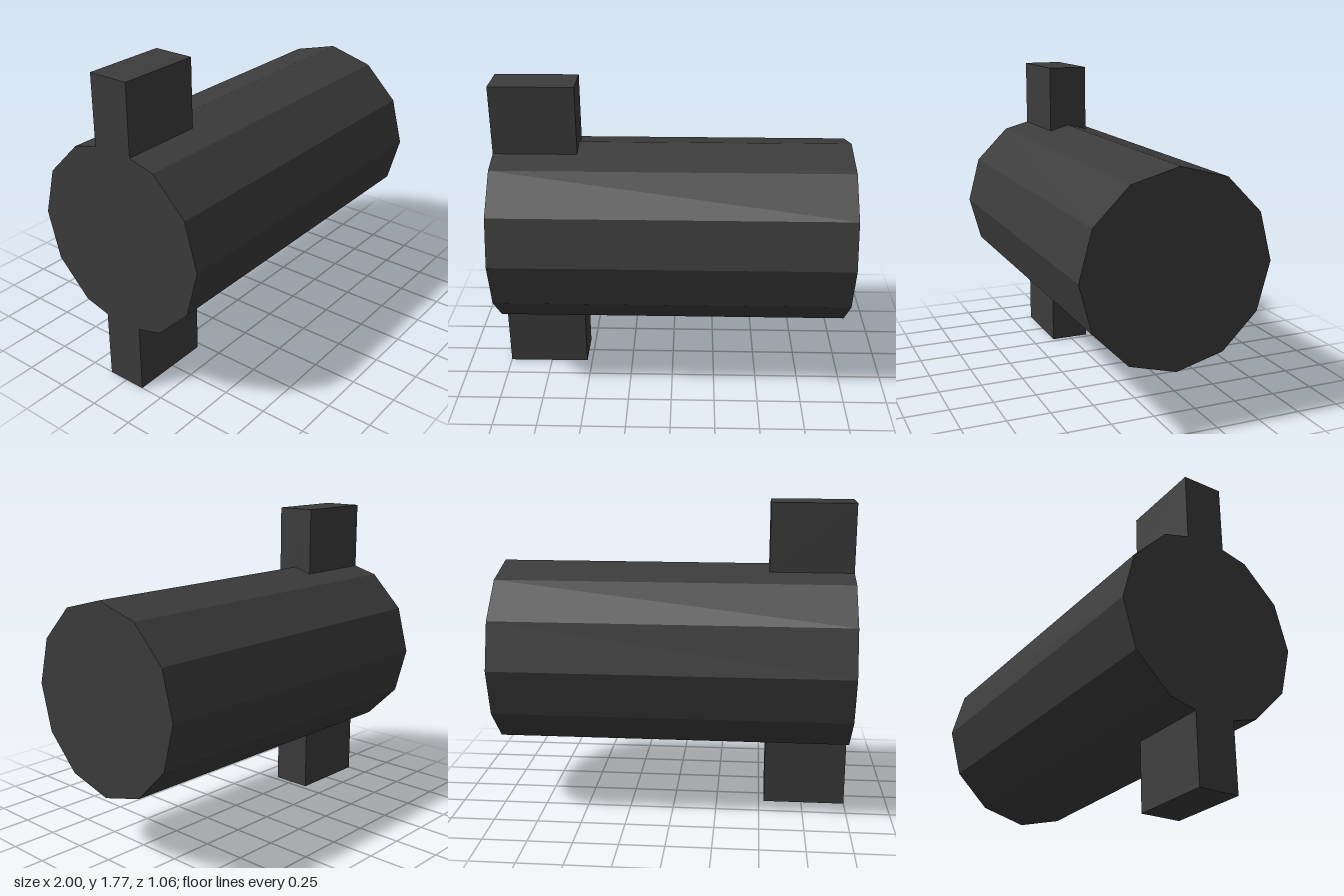
import * as THREE from 'three';

export function createModel() {
  const group = new THREE.Group();
  const material = new THREE.MeshStandardMaterial({ color: 0x3c3c3c, flatShading: true });
  const radius = 0.528, axisY = 0.883;

  // Twelve-sided barrel lying along x, corners at top and bottom
  const barrel = new THREE.Mesh(
    new THREE.CylinderGeometry(radius, radius, 2, 12).rotateZ(Math.PI / 2), material);
  barrel.name = 'barrel';
  barrel.position.y = axisY;
  group.add(barrel);

  // Lugs above and below the right end, seated just inside the barrel
  const inner = 0.49, height = axisY - inner;
  for (const [name, side] of [['upperLug', 1], ['lowerLug', -1]]) {
    const lug = new THREE.Mesh(new THREE.BoxGeometry(0.47, height, 0.232), material);
    lug.name = name;
    lug.position.set(-0.765, axisY + side * (inner + height / 2), 0);
    group.add(lug);
  }
  return group;
}
